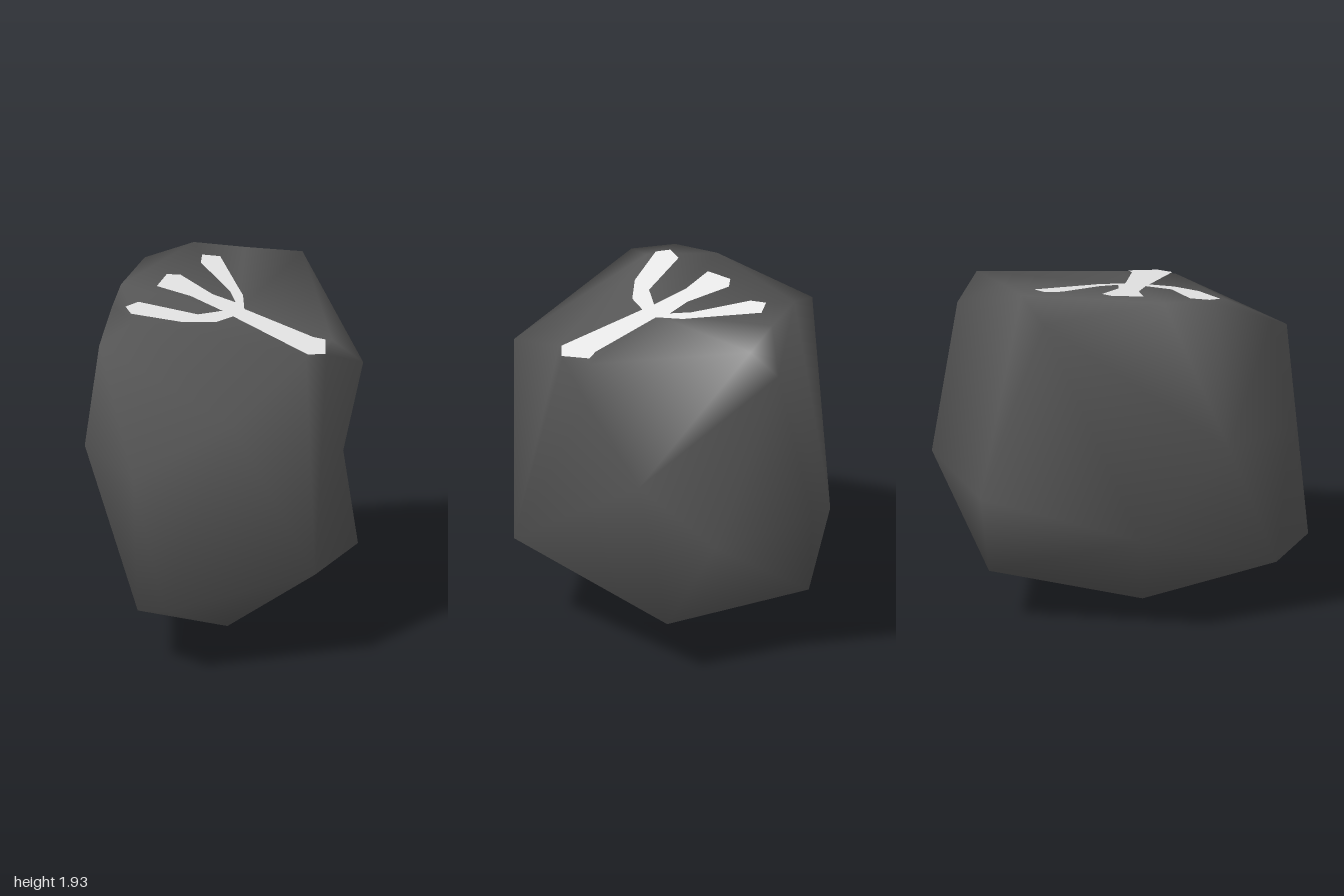
import * as THREE from 'three';
import { mergeVertices } from 'three/addons/utils/BufferGeometryUtils.js';
import { ConvexGeometry } from 'three/addons/geometries/ConvexGeometry.js';

const stone = new THREE.MeshStandardMaterial({ color: 0x575757 });
stone.name = 'dark stone';
const pale = new THREE.MeshStandardMaterial({ color: 0xffffff, side: THREE.DoubleSide });
pale.name = 'white marking';

// height of the sloping top face
const top = (x) => 1.81 - 0.235 * x;

// Star-shaped boulder: the corners are joined up on a sphere, then moved to their places
function boulder(corners) {
  const centre = new THREE.Vector3(0, 1, 0);
  const points = corners.map((c) => new THREE.Vector3(...c));
  const dirs = points.map((p) => p.clone().sub(centre).normalize());
  const geo = new ConvexGeometry(dirs);
  const pos = geo.attributes.position;
  const v = new THREE.Vector3();
  for (let i = 0; i < pos.count; i++) {
    v.fromBufferAttribute(pos, i);
    let best = 0;
    dirs.forEach((d, j) => {
      if (d.distanceToSquared(v) < dirs[best].distanceToSquared(v)) best = j;
    });
    pos.setXYZ(i, ...points[best].toArray());
  }
  geo.deleteAttribute('normal');
  const welded = mergeVertices(geo);
  welded.computeVertexNormals();
  return welded;
}

export function createModel() {
  const group = new THREE.Group();
  group.name = 'markedRock';

  const onTop = [[-0.5, -0.48], [-0.53, 0.3], [-0.44, 0.57], [-0.28, 0.61], [0.05, 0.08], [0.56, -0.08], [0.62, 0.1], [0.56, 0.22]]
    .map(([x, z]) => [x, top(x), z]);
  const rock = new THREE.Mesh(boulder([
    // foot and lower ring
    [0.02, 0, 0.11], [0.11, 0.39, 1], [-0.13, 0.31, 0.86], [0.72, 0.52, 0.42],
    [0.43, 0.31, -0.62], [-0.47, 0.31, -0.66], [-0.69, 0.61, 0.2],
    // middle, with a hollow at the back
    [-0.56, 1.12, 0.66], [-0.12, 1.1, 0.935], [-0.59, 0.77, -0.69], [-0.26, 0.91, -1],
    [0.21, 0.75, -0.76], [0.45, 1.03, -0.38],
    // shoulders
    [0.68, 1.53, -0.21], [0.43, 1.47, 0.84], [-0.36, 1.8, 0.87], [-0.72, 1.85, -0.33],
    [-0.26, 1.895, -0.62], [0, 1.86, -0.79], [-0.12, 1.72, -0.88],
    ...onTop,
  ]), stone);
  rock.name = 'rock';
  group.add(rock);

  // Branching mark laid on the top face, outlined in x and z
  const outline = [
    [0.07, 0.01], [0.48, -0.01], [0.54, -0.04], [0.62, 0.11], [0.56, 0.2], [0.07, 0.14],
    [0.04, 0.28], [-0.08, 0.43], [-0.32, 0.58], [-0.38, 0.53], [-0.36, 0.42], [-0.07, 0.28],
    [0, 0.13], [-0.2, 0.12], [-0.38, 0.17], [-0.41, 0], [-0.36, -0.06], [-0.13, 0],
    [0, -0.02], [-0.08, -0.11], [-0.35, -0.28], [-0.39, -0.37], [-0.31, -0.44], [-0.13, -0.33],
  ];
  const shape = new THREE.Shape(outline.map(([x, z]) => new THREE.Vector2(x, -z)));
  const markGeo = new THREE.ShapeGeometry(shape).rotateX(-Math.PI / 2);
  const pos = markGeo.attributes.position;
  for (let i = 0; i < pos.count; i++) pos.setY(i, top(pos.getX(i)) + 0.009);
  markGeo.computeVertexNormals();
  const mark = new THREE.Mesh(markGeo, pale);
  mark.name = 'branchingMark';
  group.add(mark);

  return group;
}
